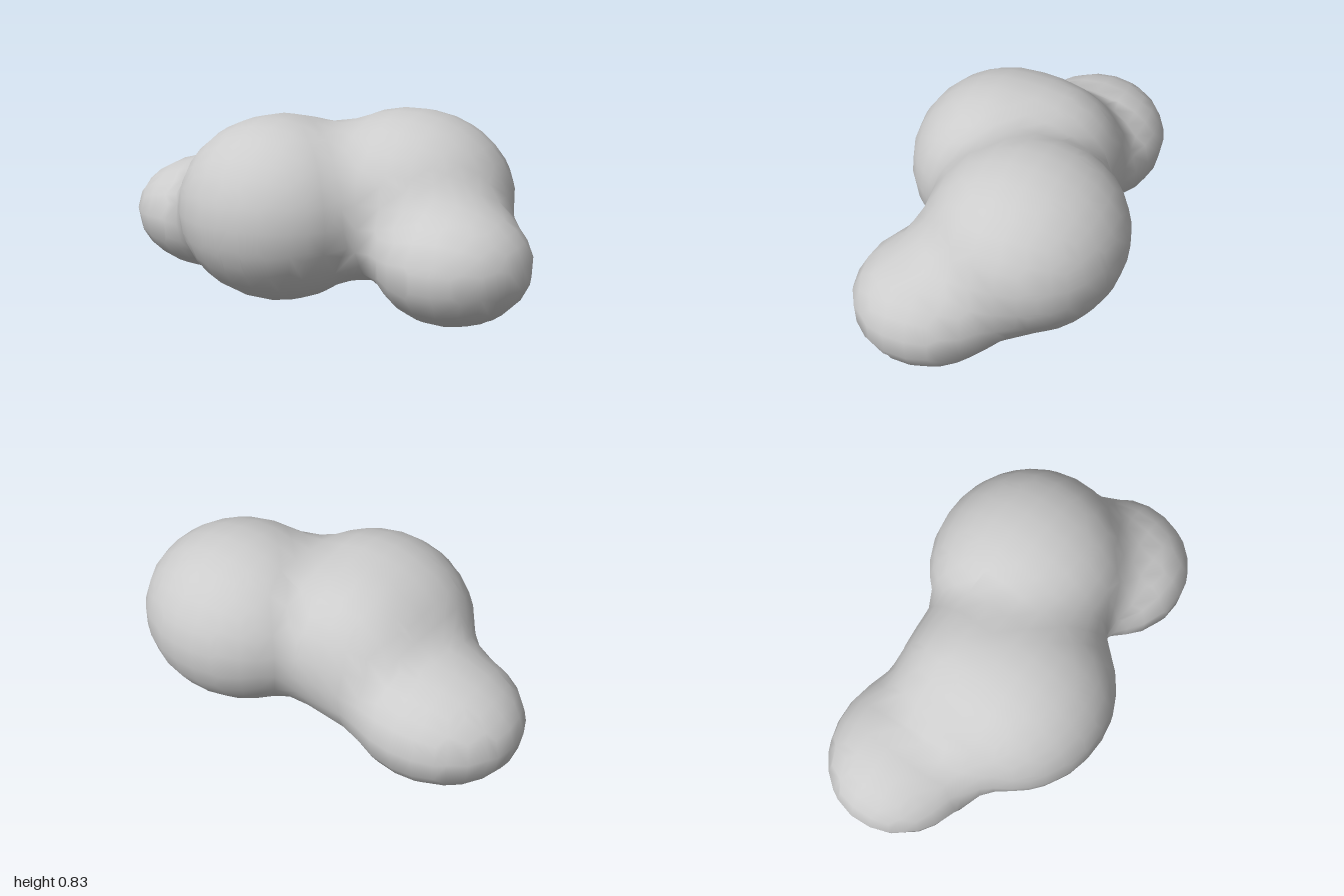
import * as THREE from 'three';

// Puffs of the cloud: centre and radii
const puffs = [
  { c: [-0.14, 0.405, 0.15], r: [0.45, 0.405, 0.435] }, // front middle
  { c: [0.35, 0.45, -0.15], r: [0.46, 0.385, 0.435] },  // back, tallest
  { c: [-0.61, 0.285, -0.08], r: [0.39, 0.265, 0.345] }, // right end
  { c: [0.67, 0.26, 0.14], r: [0.33, 0.255, 0.33] },    // left end
  { c: [-0.2, 0.42, -0.08], r: [0.3, 0.32, 0.27] },     // filler behind the middle
];
const BLEND = 0.14;

// Approximate signed distance to one ellipsoid
function ellipsoid({ c, r }, p) {
  let a = 0, b = 0;
  for (let i = 0; i < 3; i++) {
    const d = (p[i] - c[i]) / r[i];
    a += d * d;
    b += (d / r[i]) ** 2;
  }
  const k = Math.sqrt(a);
  return k * (k - 1) / Math.max(Math.sqrt(b), 1e-6);
}

// Smooth union of all puffs
function field(p) {
  return puffs.map((s) => ellipsoid(s, p)).reduce((a, b) => {
    const h = Math.max(BLEND - Math.abs(a - b), 0) / BLEND;
    return Math.min(a, b) - h * h * BLEND / 4;
  });
}

function gradient(p) {
  const e = 0.002;
  return [0, 1, 2].map((i) => {
    const q = [...p], s = [...p];
    q[i] += e;
    s[i] -= e;
    return (field(q) - field(s)) / (2 * e);
  });
}

// Quad mesh wrapped around the field, one vertex per crossed grid cell
function blobGeometry(cell) {
  const min = [-1.15, -0.15, -0.75], size = [2.3, 1.15, 1.5];
  const n = size.map((s) => Math.ceil(s / cell));
  const at = (g) => g.map((v, i) => min[i] + v * cell);
  const values = new Map();
  const inside = (g) => {
    const key = g.join();
    if (!values.has(key)) values.set(key, field(at(g)) < 0);
    return values.get(key);
  };
  const positions = [], normals = [], index = [], cells = new Map();

  // Start at the cell centre and slide onto the surface
  const vertex = (g) => {
    const key = g.join();
    if (!cells.has(key)) {
      let p = at(g.map((v) => v + 0.5));
      for (let k = 0; k < 6; k++) {
        const d = field(p), q = gradient(p);
        const l = q[0] ** 2 + q[1] ** 2 + q[2] ** 2 + 1e-6;
        p = p.map((v, i) => v - q[i] * d / l);
      }
      cells.set(key, positions.length / 3);
      positions.push(...p);
      normals.push(...new THREE.Vector3(...gradient(p)).normalize().toArray());
    }
    return cells.get(key);
  };

  for (let x = 1; x < n[0]; x++) for (let y = 1; y < n[1]; y++) for (let z = 1; z < n[2]; z++) {
    const g = [x, y, z];
    for (let axis = 0; axis < 3; axis++) {
      const next = [...g];
      next[axis]++;
      const here = inside(g);
      if (here === inside(next)) continue;
      // Four cells around the crossed grid edge
      const u = (axis + 1) % 3, v = (axis + 2) % 3;
      const corner = (du, dv) => {
        const q = [...g];
        q[u] -= du;
        q[v] -= dv;
        return vertex(q);
      };
      const [a, b, c, d] = [corner(1, 1), corner(0, 1), corner(0, 0), corner(1, 0)];
      if (here) index.push(a, b, c, a, c, d);
      else index.push(a, c, b, a, d, c);
    }
  }
  const geo = new THREE.BufferGeometry();
  geo.setAttribute('position', new THREE.Float32BufferAttribute(positions, 3));
  geo.setAttribute('normal', new THREE.Float32BufferAttribute(normals, 3));
  geo.setIndex(index);
  return geo;
}

export function createModel() {
  const group = new THREE.Group();
  group.name = 'cloud';
  const cloudGrey = new THREE.MeshStandardMaterial({ color: 0xcccccc });
  cloudGrey.name = 'cloudGrey';
  const body = new THREE.Mesh(blobGeometry(0.1), cloudGrey);
  body.name = 'cloudBody';
  group.add(body);
  return group;
}
